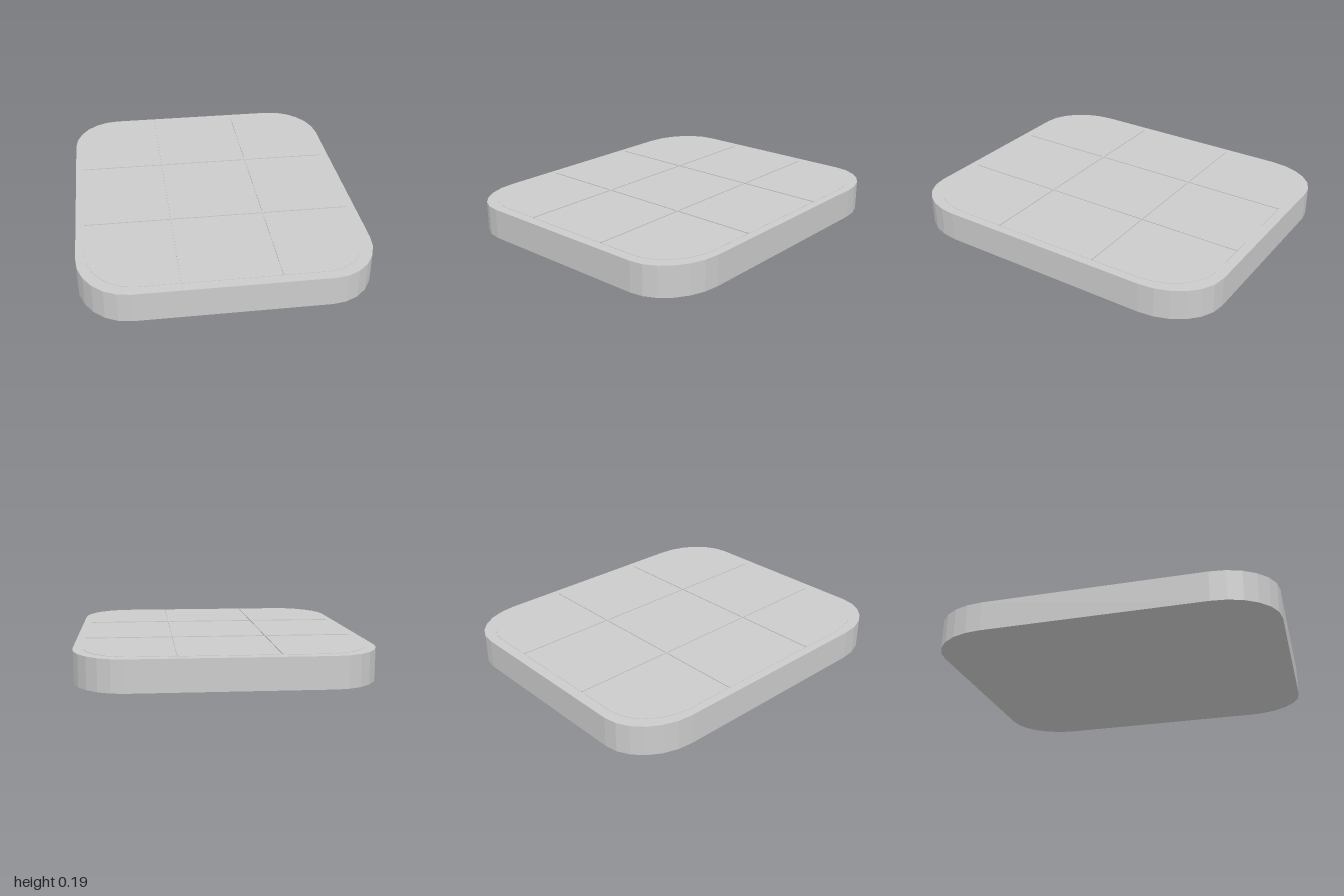
import * as THREE from 'three';

const material = new THREE.MeshStandardMaterial({ color: 0xcccccc, flatShading: true });

// Rectangle outline with elliptical corners, six facets each
function roundedOutline(halfX, halfZ, rx, rz) {
  const points = [];
  for (let corner = 0; corner < 4; corner++) {
    const sx = corner === 0 || corner === 3 ? 1 : -1;
    const sz = corner < 2 ? 1 : -1;
    for (let i = 0; i <= 6; i++) {
      const a = (corner + i / 6) * Math.PI / 2;
      points.push(new THREE.Vector2(
        sx * (halfX - rx) + rx * Math.cos(a),
        sz * (halfZ - rz) + rz * Math.sin(a)));
    }
  }
  return new THREE.Shape(points);
}

// Flat slab standing on the given height
function slab(name, outline, bottom, height) {
  const geometry = new THREE.ExtrudeGeometry(outline, { depth: height, bevelEnabled: false });
  geometry.rotateX(-Math.PI / 2);
  const mesh = new THREE.Mesh(geometry, material);
  mesh.name = name;
  mesh.position.y = bottom;
  return mesh;
}

export function createModel() {
  const model = new THREE.Group();
  model.name = 'roundedTile';

  // Thick base with a barely raised panel
  model.add(slab('base', roundedOutline(0.835, 1, 0.29, 0.35), 0, 0.178));
  model.add(slab('topPanel', roundedOutline(0.785, 0.94, 0.27, 0.33), 0.178, 0.002));

  // Thin ribs dividing the panel into three by three fields
  const ribs = new THREE.Group();
  ribs.name = 'gridRibs';
  const addRib = (name, width, depth, x, z) => {
    const rib = new THREE.Mesh(new THREE.BoxGeometry(width, 0.006, depth), material);
    rib.name = name;
    rib.position.set(x, 0.182, z);
    ribs.add(rib);
  };
  for (const side of [-1, 1]) {
    addRib('lengthwiseRib', 0.008, 1.88, side * 0.275, 0);
    addRib('crosswiseRib', 1.57, 0.008, 0, side * 0.325);
  }
  model.add(ribs);
  return model;
}
